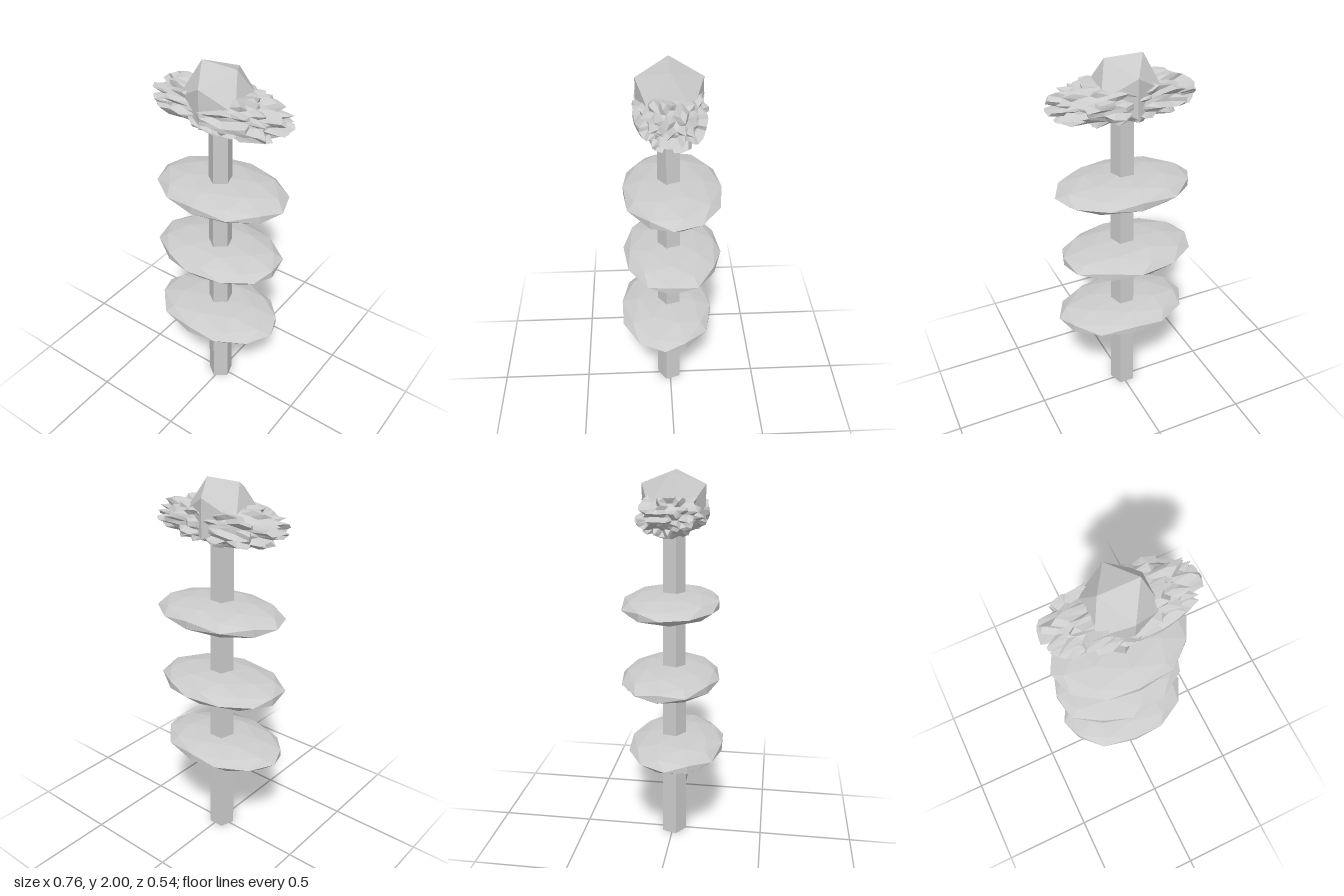
import * as THREE from 'three';

const material = new THREE.MeshStandardMaterial({ color: 0xcccccc, flatShading: true });

function add(group, name, geometry, x, y, z) {
  geometry.computeVertexNormals();
  const mesh = new THREE.Mesh(geometry, material);
  mesh.name = name;
  mesh.position.set(x, y, z);
  group.add(mesh);
}

// Repeatable 0..1 value for a direction, equal for coincident corners
function hash(v) {
  const q = (n) => Math.round(n * 1000);
  const s = Math.sin(q(v.x) * 12.9898 + q(v.y) * 78.233 + q(v.z) * 37.719) * 43758.5453;
  return s - Math.floor(s);
}

// Flattened ball whose corners are pushed in and out into spikes
function spikyGeometry(rx, ry, rz) {
  const geometry = new THREE.IcosahedronGeometry(1, 6);
  const pos = geometry.attributes.position;
  const v = new THREE.Vector3();
  const power = 2.3;
  for (let i = 0; i < pos.count; i++) {
    v.fromBufferAttribute(pos, i).normalize();
    const h = hash(v);
    const body = Math.pow(
      Math.abs(v.x) ** power + Math.abs(v.y) ** power + Math.abs(v.z) ** power, -1 / power);
    const r = body * (h > 0.65 ? 0.96 + 0.1 * h : 0.84 + 0.06 * h);
    pos.setXYZ(i, v.x * r * rx, v.y * r * ry, v.z * r * rz);
  }
  return geometry;
}

export function createModel() {
  const group = new THREE.Group();
  group.name = 'tieredPlant';

  // Five-sided tapering stem
  add(group, 'stem', new THREE.CylinderGeometry(0.06, 0.071, 1.78, 5), -0.008, 0.89, 0.002);

  // Three faceted oval discs, each turned before it is flattened
  const discs = [
    { name: 'lowerDisc', at: [-0.005, 0.543, 0.022], turn: -36 },
    { name: 'middleDisc', at: [-0.02, 0.939, -0.01], turn: -63 },
    { name: 'upperDisc', at: [-0.005, 1.334, -0.01], turn: 30 },
  ];
  for (const { name, at, turn } of discs) {
    const geometry = new THREE.IcosahedronGeometry(1, 1);
    geometry.rotateY(THREE.MathUtils.degToRad(turn));
    geometry.scale(0.367, 0.068, 0.262);
    add(group, name, geometry, ...at);
  }

  // Spiky oval crown
  add(group, 'spikyCrown', spikyGeometry(0.365, 0.108, 0.17), 0, 1.8, 0);

  // Faceted bud on top
  add(group, 'bud', new THREE.IcosahedronGeometry(0.188, 0), -0.012, 1.84, 0.003);

  return group;
}
